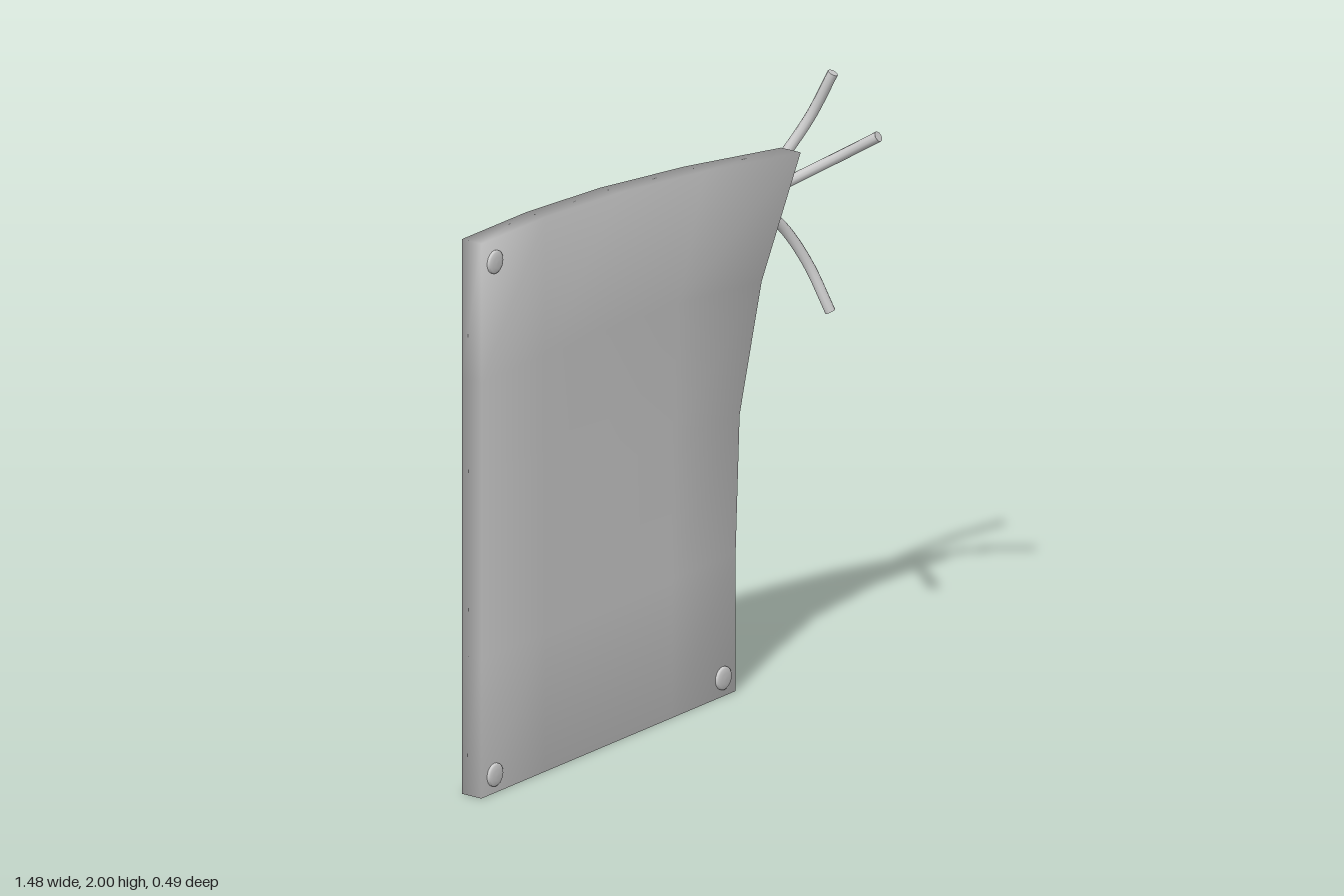
import * as THREE from 'three';
import { mergeVertices } from 'three/addons/utils/BufferGeometryUtils.js';

const W = 1.28, H = 1.79, T = 0.075;   // panel size
const CX = -0.1, ZB = -0.25;           // panel centre x, back plane z

const material = new THREE.MeshStandardMaterial({ color: 0xcccccc });

// Forward lift of the loose corner, fading diagonally across the panel
function curl(x, y) {
  const u = (x - CX) / W + 0.5, v = y / H;
  const s = Math.max(0, 1 - 1.25 * (1 - u) - 1.55 * (1 - v));
  return 0.25 * Math.pow(s, 1.87);
}

// Thin flap with one corner curling forward, shaded smoothly around its edges
function makePanel() {
  let geo = new THREE.BoxGeometry(W, H, T, 4, 4, 1);
  geo.translate(CX, H / 2, ZB + T / 2);
  const p = geo.attributes.position;
  for (let i = 0; i < p.count; i++) {
    p.setZ(i, p.getZ(i) + curl(p.getX(i), p.getY(i)));
  }
  geo.deleteAttribute('uv');
  geo.deleteAttribute('normal');
  geo = mergeVertices(geo, 1e-4);
  geo.computeVertexNormals();
  const mesh = new THREE.Mesh(geo, material);
  mesh.name = 'panel';
  return mesh;
}

// Low domed stud facing forward
function makeStud(x, y) {
  const profile = [[0.037, -0.005], [0.037, 0.006], [0.032, 0.01], [0.018, 0.0125], [0, 0.013]]
    .map(([r, h]) => new THREE.Vector2(r, h));
  const geo = new THREE.LatheGeometry(profile, 20);
  geo.rotateX(Math.PI / 2);
  const mesh = new THREE.Mesh(geo, material);
  mesh.position.set(x, y, ZB + T);
  mesh.name = 'stud';
  return mesh;
}

// Round cord along a curve, closed at both ends
function makeCord(points, name) {
  const r = 0.017;
  const curve = new THREE.CatmullRomCurve3(points.map((q) => new THREE.Vector3(...q)));
  const cord = new THREE.Group();
  cord.name = name;
  const tube = new THREE.Mesh(new THREE.TubeGeometry(curve, 20, r, 10), material);
  tube.name = 'cordStrand';
  cord.add(tube);
  for (const t of [0, 1]) {
    const cap = new THREE.Mesh(new THREE.CircleGeometry(r, 10), material);
    const dir = curve.getTangentAt(t).multiplyScalar(t ? 1 : -1);
    cap.position.copy(curve.getPointAt(t));
    cap.quaternion.setFromUnitVectors(new THREE.Vector3(0, 0, 1), dir);
    cap.name = 'cordEnd';
    cord.add(cap);
  }
  return cord;
}

export function createModel() {
  const model = new THREE.Group();
  model.name = 'curledFlap';
  model.add(makePanel());

  // Studs at the three fixed corners
  for (const [x, y] of [[-0.675, 1.715], [-0.675, 0.06], [0.475, 0.06]]) {
    model.add(makeStud(x, y));
  }

  // Three cords spreading from behind the loose corner
  model.add(makeCord([
    [0.49, 1.62, -0.085], [0.54, 1.645, -0.08], [0.63, 1.74, -0.05],
    [0.695, 1.85, -0.005], [0.722, 1.995, 0.06]], 'upperCord'));
  model.add(makeCord([
    [0.49, 1.615, -0.085], [0.54, 1.625, -0.07], [0.63, 1.67, -0.005],
    [0.70, 1.745, 0.11], [0.722, 1.825, 0.235]], 'forwardCord'));
  model.add(makeCord([
    [0.49, 1.605, -0.085], [0.54, 1.575, -0.08], [0.63, 1.495, -0.06],
    [0.695, 1.37, -0.015], [0.722, 1.222, 0.05]], 'lowerCord'));

  return model;
}
